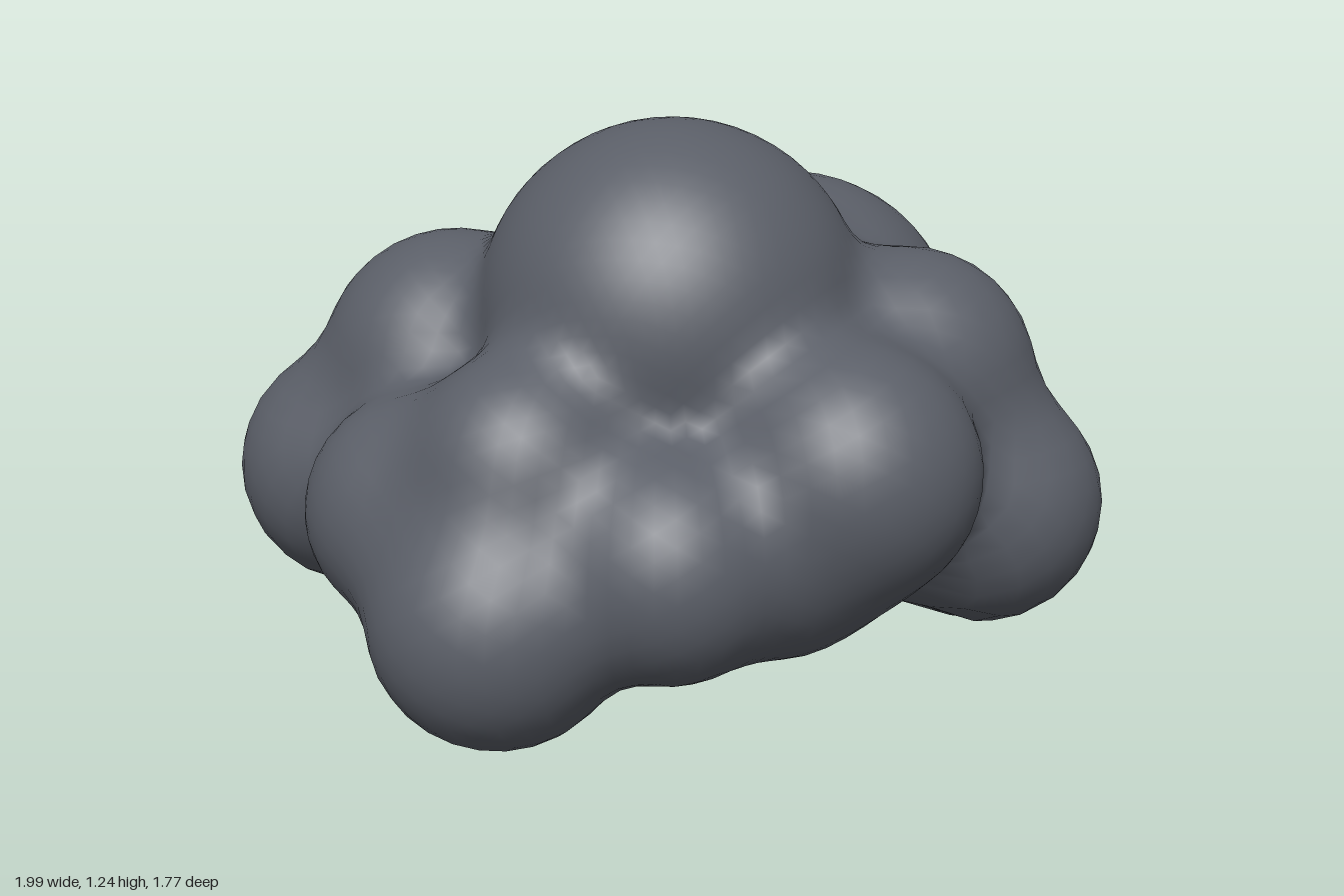
import * as THREE from 'three';
import { mergeVertices } from 'three/addons/utils/BufferGeometryUtils.js';

// Puffs of the cloud: x, y, z, radius
const PUFFS = [
  [0.05, 0.82, 0.11, 0.425],  // top dome
  [0.22, 0.64, -0.4, 0.41],   // upper back
  [0.02, 0.65, -0.27, 0.39],
  [0.27, 0.455, -0.52, 0.37], // rear bulge
  [-0.28, 0.53, -0.36, 0.4],  // back right
  [-0.48, 0.65, 0.02, 0.31],  // shoulders
  [0.55, 0.67, -0.04, 0.285],
  [-0.71, 0.4, 0.05, 0.285],  // sides
  [0.72, 0.39, -0.04, 0.275],
  [0.48, 0.56, 0.36, 0.28],   // front cluster
  [-0.42, 0.43, 0.42, 0.26],
  [-0.17, 0.56, 0.5, 0.25],
  [-0.2, 0.275, 0.61, 0.275],
  [0.15, 0.4, 0.56, 0.245],
  [0.27, 0.34, 0.05, 0.275],  // underside
  [-0.2, 0.39, 0.15, 0.28],
  [-0.48, 0.38, 0.15, 0.25],
  [0.33, 0.4, 0.36, 0.25],
  [0.0, 0.36, 0.38, 0.25],
  [0.0, 0.4, -0.12, 0.25],
  [-0.42, 0.4, -0.1, 0.25],
  [0.48, 0.42, -0.2, 0.25],
];
const BLEND = 0.1;

// Distance to the softly blended union of all puffs
function cloudDistance(p) {
  let d = Infinity;
  for (const [x, y, z, r] of PUFFS) {
    const s = Math.hypot(p.x - x, p.y - y, p.z - z) - r;
    const h = Math.max(BLEND - Math.abs(d - s), 0) / BLEND;
    d = Math.min(d, s) - h * h * BLEND / 4;
  }
  return d;
}

export function createModel() {
  const group = new THREE.Group();
  group.name = 'cloud';
  const stormGrey = new THREE.MeshStandardMaterial({ color: 0x5a5e67 });
  stormGrey.name = 'stormGrey';

  // Shrink a sphere inwards onto the blended puffs
  let geometry = new THREE.IcosahedronGeometry(1, 18);
  geometry.deleteAttribute('normal');
  geometry.deleteAttribute('uv');
  geometry = mergeVertices(geometry, 1e-4);
  const pos = geometry.attributes.position;
  const centre = new THREE.Vector3(0, 0.46, 0.03);
  const dir = new THREE.Vector3();
  const p = new THREE.Vector3();
  for (let i = 0; i < pos.count; i++) {
    dir.fromBufferAttribute(pos, i).normalize();
    let t = 1.6;
    for (let step = 0; step < 120; step++) {
      p.copy(centre).addScaledVector(dir, t);
      const d = cloudDistance(p);
      if (d < 0.0005) break;
      t -= d;
    }
    pos.setXYZ(i, p.x, p.y, p.z);
  }
  geometry.computeVertexNormals();

  const body = new THREE.Mesh(geometry, stormGrey);
  body.name = 'cloudBody';
  group.add(body);
  return group;
}
